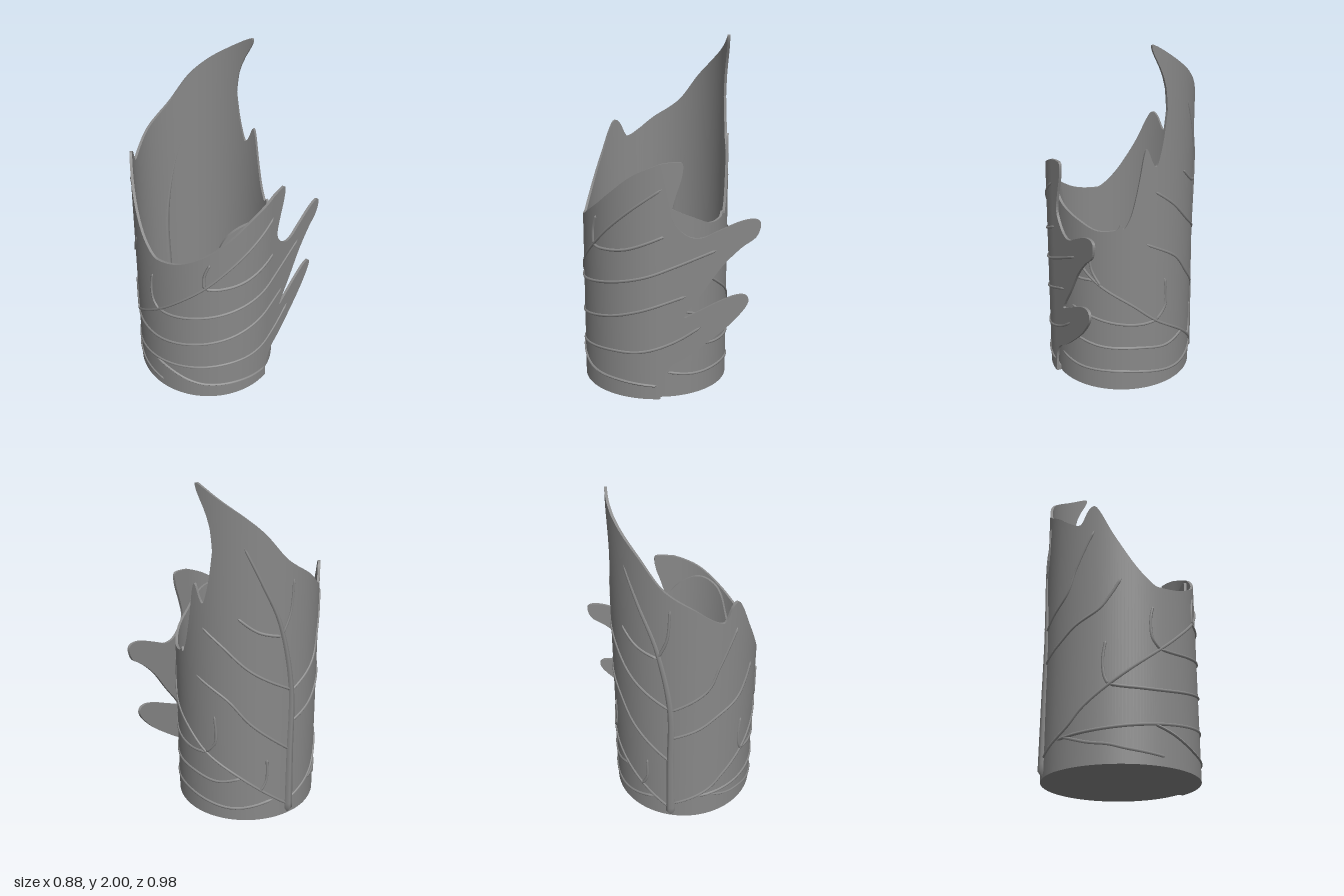
import * as THREE from 'three';
import { toCreasedNormals } from 'three/addons/utils/BufferGeometryUtils.js';

const CZ = 0.055, R = 0.43, THICK = 0.015, RAD = Math.PI / 180;

// Outer radius of the rolled leaf; angle 0 is the front, 90 the +x side.
// Past -90 the sheet spirals slowly inward and passes under its own front.
const radius = (a) => (a > -90 ? R : R + ((a + 90) * 0.045) / 270);

// Point on the leaf; past 90 degrees it runs straight back as a flat flap.
function onLeaf(a, y, lift = 0) {
  const r = radius(a) + lift;
  if (a > 90) return new THREE.Vector3(r, y, CZ - (a - 90) * RAD * R);
  return new THREE.Vector3(r * Math.sin(a * RAD), y, CZ + r * Math.cos(a * RAD));
}

const spline = (pts, n) =>
  new THREE.SplineCurve(pts.map((p) => new THREE.Vector2(...p))).getPoints(n);

// Curved sheet with thickness from columns [angle, bottom, top]
function sheet(columns) {
  const pos = [], idx = [];
  for (const [a, y0, y1] of columns) {
    for (const [y, d] of [[y0, 0], [y1, 0], [y1, -THICK], [y0, -THICK]]) {
      pos.push(...onLeaf(a, y, d).toArray());
    }
  }
  const n = columns.length;
  // columns run towards decreasing angle
  for (let i = 0; i < n - 1; i++) {
    for (let j = 0; j < 4; j++) {
      const a = i * 4 + j, b = i * 4 + ((j + 1) % 4);
      idx.push(a, a + 4, b, b, a + 4, b + 4);
    }
  }
  const e = (n - 1) * 4;
  idx.push(0, 1, 2, 0, 2, 3, e, e + 2, e + 1, e, e + 3, e + 2);
  const g = new THREE.BufferGeometry();
  g.setAttribute('position', new THREE.Float32BufferAttribute(pos, 3));
  g.setIndex(idx);
  return toCreasedNormals(g, 0.6);
}

// Tapering rib following [angle, height] points on the outside of the leaf
function rib(pts, r0, r1, lift) {
  const n = pts.length * 8, sides = 6;
  const path = new THREE.CatmullRomCurve3(spline(pts, n).map((p) => onLeaf(p.x, p.y, lift)));
  const g = new THREE.TubeGeometry(path, n, 1, sides);
  const p = g.attributes.position, v = new THREE.Vector3();
  for (let i = 0; i <= n; i++) {
    const c = path.getPointAt(i / n);
    const r = i === 0 || i === n ? 0.0005 : r0 + ((r1 - r0) * i) / n;
    for (let j = 0; j <= sides; j++) {
      const k = i * (sides + 1) + j;
      v.fromBufferAttribute(p, k).sub(c).multiplyScalar(r).add(c);
      p.setXYZ(k, v.x, Math.max(v.y, 0), v.z);
    }
  }
  g.computeVertexNormals();
  return g;
}

// Upper edge from the flap round the front and left side to the leaf tip
const FRONT_EDGE = [
  [90, 1.345], [70, 1.28], [50, 1.17], [35, 1.09], [14, 1.01], [-3, 0.985], [-12, 1.0],
  [-25, 1.1], [-40, 1.28], [-50, 1.43], [-55, 1.48], [-60, 1.46], [-65, 1.39], [-69, 1.38],
  [-78, 1.42], [-90, 1.49], [-105, 1.56], [-115, 1.62], [-130, 1.75], [-145, 1.84],
  [-160, 1.91], [-169, 1.95],
];
// Upper edge from below the tip round the back and in under the front
const BACK_EDGE = [
  [-169, 1.65], [-172, 1.5], [-176, 1.38], [-178.5, 1.35], [-181.5, 1.38], [-185.5, 1.45],
  [-188, 1.42], [-191, 1.3], [-194, 1.19], [-198, 1.08], [-203, 1.01], [-206, 1.03],
  [-210, 1.0], [-225, 0.99], [-240, 1.03], [-262, 1.1], [-275, 1.18], [-290, 1.23],
  [-304, 1.21], [-314, 1.14], [-322, 0.98], [-340, 0.65], [-360, 0.6], [-385, 0.5], [-408, 0.3],
];
// Overhanging tip: columns of angle, lower edge, upper edge
const TIP = [
  [-169, 1.65, 1.95], [-169.6, 1.71, 1.953], [-170.6, 1.77, 1.957], [-173, 1.83, 1.968],
  [-176, 1.88, 1.98], [-179, 1.92, 1.992], [-181.5, 1.955, 2.0], [-182.8, 1.98, 1.997],
];
// Lobed flap outline: distance behind the tangent line, height
const FLAP = [
  [0, 1.345], [0.08, 1.355], [0.12, 1.345], [0.115, 1.27], [0.08, 1.16], [0.06, 1.06],
  [0.1, 0.99], [0.16, 0.945], [0.23, 0.94], [0.31, 0.975], [0.44, 1.03], [0.52, 1.04],
  [0.545, 1.01], [0.52, 0.94], [0.44, 0.88], [0.34, 0.78], [0.24, 0.64], [0.13, 0.49],
  [0.21, 0.52], [0.31, 0.57], [0.41, 0.61], [0.47, 0.61], [0.485, 0.57], [0.44, 0.5],
  [0.34, 0.4], [0.16, 0.26], [0.06, 0.2], [0.015, 0.14], [0, 0.08],
];

const MIDRIB = [[-107, 0], [-107, 0.4], [-107, 0.83], [-117, 1.22], [-132, 1.48], [-146, 1.69]];
const FRONT_VEINS = [
  [[-106, 0.1], [-78, 0.2], [-63, 0.3], [-44, 0.41], [-7, 0.62], [14, 0.75], [32, 0.86], [50, 0.98], [70, 1.1], [91, 1.21]],
  [[32, 0.86], [42, 0.85], [65, 0.87], [93, 0.95]],
  [[32, 0.86], [32, 0.95], [36, 1.03]],
  [[-7, 0.62], [10, 0.62], [45, 0.66], [75, 0.71], [98, 0.77], [131, 0.87]],
  [[-7, 0.62], [-13, 0.68], [-14, 0.78], [-12, 0.86]],
  [[-44, 0.41], [-28, 0.395], [0, 0.4], [45, 0.46], [70, 0.51], [90, 0.56], [109, 0.61]],
  [[-44, 0.41], [-47, 0.46], [-48, 0.55], [-46, 0.65]],
  [[-85, 0.16], [-50, 0.18], [-13, 0.21], [44, 0.26], [75, 0.28], [100, 0.34], [120, 0.43]],
  [[-13, 0.21], [0, 0.18], [28, 0.11], [60, 0.095], [88, 0.08]],
  [[-80, 0.17], [-60, 0.12], [-44, 0.1], [-30, 0.075], [-5, 0.05]],
  [[-107, 0.62], [-85, 0.69], [-70, 0.76], [-52, 0.83], [-43, 0.91], [-35, 1.01]],
  [[-107, 0.82], [-80, 0.95], [-70, 1.1], [-62, 1.22], [-55, 1.32]],
];
const BACK_VEINS = [
  [[-107, 0.06], [-147, 0.29], [-177, 0.43], [-198, 0.55], [-228, 0.69], [-250, 0.85], [-268, 0.98]],
  [[-117, 1.17], [-135, 1.21], [-150, 1.29]],
  [[-116, 1.18], [-109, 1.31], [-107, 1.49]],
  [[-107, 0.83], [-139, 0.97], [-162, 1.12], [-179, 1.21]],
  [[-107, 0.44], [-139, 0.64], [-159, 0.8], [-186, 0.91]],
  [[-177, 0.43], [-168, 0.52], [-169, 0.68]],
  [[-132, 0.2], [-127, 0.28], [-127, 0.41]],
  [[-177, 0.43], [-192, 0.42], [-217, 0.44], [-250, 0.5]],
  [[-147, 0.29], [-167, 0.25], [-192, 0.27], [-225, 0.28], [-255, 0.33]],
  [[-121, 0.13], [-155, 0.08], [-200, 0.12], [-240, 0.12], [-265, 0.15]],
  [[-222, 0.66], [-230, 0.76], [-231, 0.89]],
  [[-228, 0.69], [-245, 0.69], [-270, 0.74]],
];

export function createModel() {
  const model = new THREE.Group();
  const material = new THREE.MeshStandardMaterial({ color: 0x888888, side: THREE.DoubleSide });
  const add = (name, geometry, parent = model) => {
    const mesh = new THREE.Mesh(geometry, material);
    mesh.name = name;
    parent.add(mesh);
  };

  // Rolled leaf walls
  const toColumns = (edge) => spline(edge, edge.length * 6).map((p) => [p.x, 0, p.y]);
  add('frontWall', sheet(toColumns(FRONT_EDGE)));
  add('backWall', sheet(toColumns(BACK_EDGE)));
  add('leafTip', sheet(TIP));

  // Flat lobed flap leaving the wall tangentially
  const outline = new THREE.Shape([new THREE.Vector2(0, 0), ...spline(FLAP, 140).reverse()]);
  const flap = new THREE.ExtrudeGeometry(outline, { depth: THICK, bevelEnabled: false });
  flap.rotateY(Math.PI / 2).translate(R - THICK, 0, CZ);
  add('lobedFlap', flap);

  // Floor following the spiral of the wall
  const rim = [];
  for (let a = 90; a >= -270; a -= 4) {
    const p = onLeaf(a, 0, -0.004);
    rim.push(new THREE.Vector2(p.x, -p.z));
  }
  const floor = new THREE.ExtrudeGeometry(new THREE.Shape(rim), { depth: 0.03, bevelEnabled: false });
  add('floor', floor.rotateX(-Math.PI / 2));

  // Midrib and veins
  add('midrib', rib(MIDRIB, 0.028, 0.008, -0.003));
  const veins = new THREE.Group();
  veins.name = 'veins';
  model.add(veins);
  for (const v of FRONT_VEINS) add('frontVein', rib(v, 0.009, 0.008, 0), veins);
  for (const v of BACK_VEINS) add('backVein', rib(v, 0.009, 0.008, 0), veins);

  return model;
}
